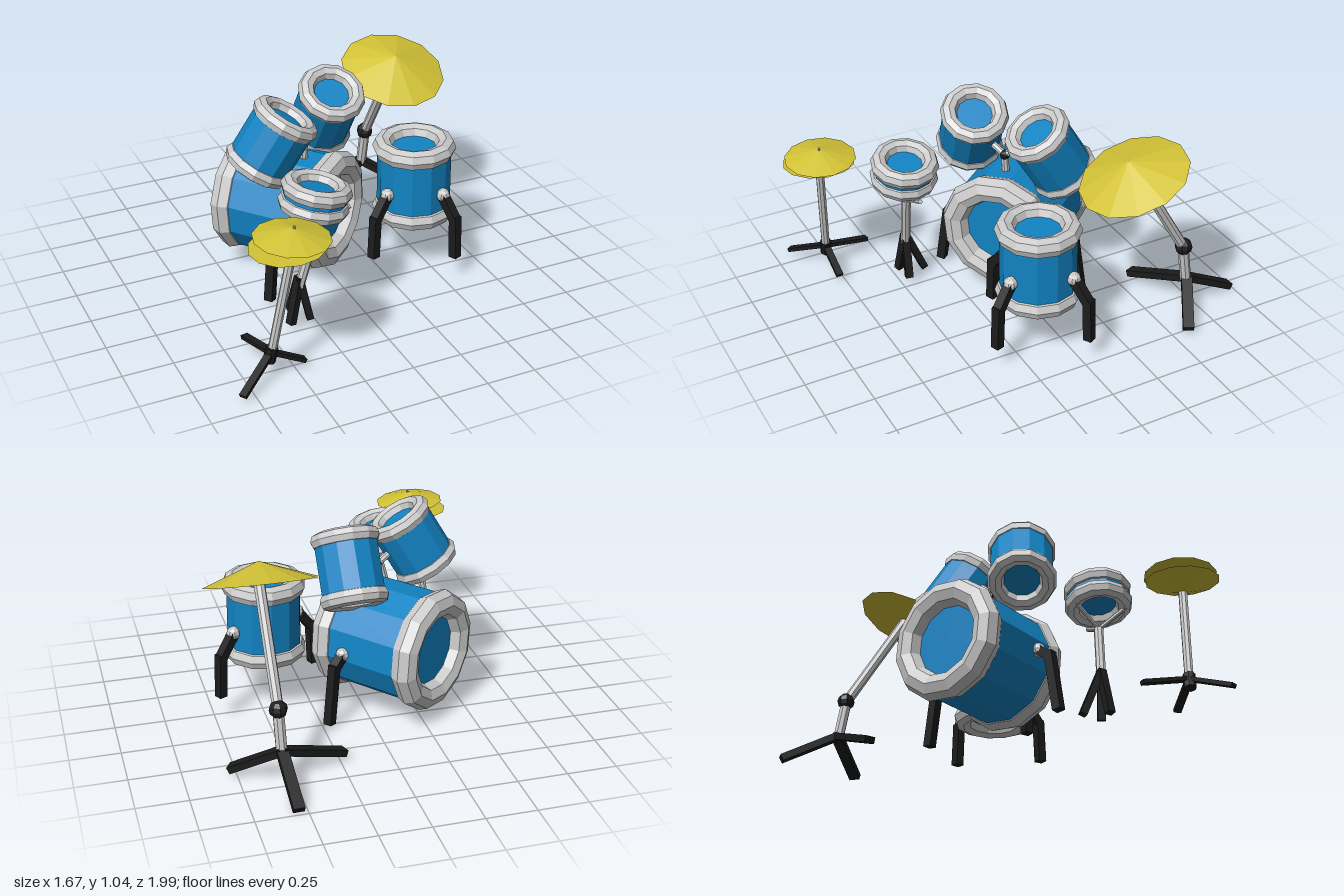
import * as THREE from 'three';

const SIDES = 12;
const mat = (color) => new THREE.MeshStandardMaterial({ color, flatShading: true });
const grey = mat(0xcccccc);
const blue = mat(0x1284c4);
const yellow = mat(0xd2c236);
const black = mat(0x1c1c1c);
const V = (p) => new THREE.Vector3(...p);
const UP = new THREE.Vector3(0, 1, 0);

function add(parent, name, geometry, material) {
  const mesh = new THREE.Mesh(geometry, material);
  mesh.name = name;
  parent.add(mesh);
  return mesh;
}

function group(parent, name) {
  const g = new THREE.Group();
  g.name = name;
  parent.add(g);
  return g;
}

// Round rod between two points
function rod(parent, name, a, b, r, material = grey) {
  const d = V(b).sub(V(a));
  const m = add(parent, name, new THREE.CylinderGeometry(r, r, d.length(), 8), material);
  m.position.copy(V(a)).addScaledVector(d, 0.5);
  m.quaternion.setFromUnitVectors(UP, d.normalize());
  return m;
}

// Flat bar between two points
function bar(parent, name, a, b, width, thick) {
  const m = add(parent, name, new THREE.BoxGeometry(width, thick, V(a).distanceTo(V(b))), black);
  m.position.copy(V(a)).lerp(V(b), 0.5);
  m.lookAt(V(b));
  return m;
}

// Shell with a fat hoop around each head
function drum(parent, name, bottom, top, shellR, outerR, tube) {
  const g = group(parent, name);
  const d = V(top).sub(V(bottom));
  const len = d.length();
  g.position.copy(V(bottom)).addScaledVector(d, 0.5);
  g.quaternion.setFromUnitVectors(UP, d.normalize());
  add(g, 'shell', new THREE.CylinderGeometry(shellR, shellR, len, SIDES), blue);
  for (const s of [-1, 1]) {
    const hoop = add(g, 'hoop', new THREE.TorusGeometry(outerR - tube, tube, 8, SIDES), grey);
    hoop.rotation.x = Math.PI / 2;
    hoop.position.y = (s * len) / 2;
  }
  return g;
}

// Bent leg: knob on the shell, elbow outwards, then down to the foot
function bentLeg(parent, name, center, dir, radii, heights, width) {
  const g = group(parent, name);
  const d = new THREE.Vector2(...dir).normalize();
  const pts = radii.map((r, i) => [center[0] + d.x * r, heights[i], center[1] + d.y * r]);
  const knob = add(g, 'legKnob', new THREE.SphereGeometry(0.035, 8, 6), grey);
  knob.position.set(...pts[0]);
  bar(g, 'upperLeg', pts[0], pts[1], width, width);
  bar(g, 'lowerLeg', [pts[1][0], pts[1][1] + 0.02, pts[1][2]], pts[2], width, width);
}

// Closed shallow cone; normal points towards the apex
function cymbal(parent, name, center, normal, radius, height) {
  const m = add(parent, name, new THREE.ConeGeometry(radius, height, SIDES), yellow);
  const n = V(normal).normalize();
  m.quaternion.setFromUnitVectors(UP, n);
  m.position.copy(V(center)).addScaledVector(n, height / 2);
}

function feet(parent, hub, ends, width, thick) {
  for (const end of ends) bar(parent, 'standFoot', hub, end, width, thick);
}

export function createModel() {
  const root = new THREE.Group();
  root.name = 'drumKit';

  // Bass drum, turned about 39 degrees
  const ax = [0.63, 0.777];
  const mid = [-0.15, -0.11];
  const end = (t) => [mid[0] + ax[0] * t, 0.38, mid[1] + ax[1] * t];
  drum(root, 'bassDrum', end(-0.24), end(0.24), 0.285, 0.31, 0.067);
  const legBase = [mid[0] + ax[0] * 0.1, mid[1] + ax[1] * 0.1];
  for (const s of [-1, 1]) {
    bentLeg(root, 'bassDrumLeg', legBase, [s * ax[1], -s * ax[0]], [0.285, 0.35, 0.395], [0.37, 0.32, 0.03], 0.045);
  }

  // Floor tom with three legs
  drum(root, 'floorTom', [0.46, 0.31, 0.105], [0.455, 0.655, 0.105], 0.188, 0.212, 0.05);
  for (const dir of [[-0.257, 0.1], [0.275, -0.15], [0.1, 0.27]]) {
    bentLeg(root, 'floorTomLeg', [0.457, 0.105], dir, [0.2, 0.285, 0.295], [0.45, 0.34, 0.13], 0.045);
  }

  // Rack toms and their mount
  drum(root, 'rackTom', [0.08, 0.684, -0.245], [0.085, 0.935, -0.09], 0.158, 0.174, 0.042);
  drum(root, 'rackTom', [-0.375, 0.705, 0.05], [-0.24, 0.935, 0.085], 0.158, 0.174, 0.042);
  const mount = group(root, 'tomMount');
  const joint = [-0.1, 0.745, -0.01];
  rod(mount, 'mountPost', [-0.1, 0.6, -0.02], joint, 0.02);
  rod(mount, 'mountArm', joint, [-0.02, 0.84, -0.1], 0.018);
  rod(mount, 'mountArm', joint, [-0.22, 0.81, 0.04], 0.018);
  add(mount, 'mountJoint', new THREE.SphereGeometry(0.026, 8, 6), black).position.set(...joint);

  // Snare drum on a folded stand
  drum(root, 'snareDrum', [-0.268, 0.67, 0.47], [-0.252, 0.75, 0.47], 0.152, 0.172, 0.042)
    .quaternion.setFromUnitVectors(UP, V([0.21, 0.978, 0]).normalize());
  const snareStand = group(root, 'snareStand');
  const fork = [-0.255, 0.54, 0.47];
  rod(snareStand, 'standPost', fork, [-0.335, 0.23, 0.45], 0.024);
  for (const tip of [[-0.08, 0.62, 0.47], [-0.31, 0.66, 0.61], [-0.31, 0.66, 0.33]]) {
    rod(snareStand, 'cradleArm', fork, tip, 0.012);
  }
  feet(snareStand, [-0.335, 0.28, 0.45], [[-0.39, 0.04, 0.47], [-0.285, 0.04, 0.46], [-0.34, 0.04, 0.35]], 0.04, 0.035);

  // Hi-hat: two facing cymbals on a leaning stand
  const hat = group(root, 'hiHat');
  cymbal(hat, 'upperCymbal', [-0.525, 0.738, 0.81], [0.06, 1, 0.02], 0.18, 0.05);
  cymbal(hat, 'lowerCymbal', [-0.545, 0.702, 0.812], [0.06, -1, 0.02], 0.182, 0.062);
  rod(hat, 'hatTip', [-0.528, 0.72, 0.815], [-0.515, 0.797, 0.815], 0.006);
  rod(hat, 'standPost', [-0.525, 0.69, 0.818], [-0.622, 0.14, 0.785], 0.022);
  feet(hat, [-0.625, 0.145, 0.785], [[-0.82, 0.045, 0.92], [-0.66, 0.09, 0.54], [-0.455, 0.05, 0.78]], 0.036, 0.02);
  rod(hat, 'standHub', [-0.619, 0.17, 0.786], [-0.635, 0.095, 0.782], 0.03, black);

  // Crash cymbal on a jointed tripod
  const crash = group(root, 'crashCymbal');
  cymbal(crash, 'cymbal', [0.56, 0.873, -0.35], [0, 0.927, 0.375], 0.275, 0.1);
  rod(crash, 'upperPost', [0.57, 0.89, -0.36], [0.56, 0.375, -0.665], 0.027);
  rod(crash, 'lowerPost', [0.56, 0.375, -0.665], [0.555, 0.16, -0.7], 0.028);
  add(crash, 'postJoint', new THREE.SphereGeometry(0.045, 8, 6), black).position.set(0.56, 0.375, -0.668);
  feet(crash, [0.555, 0.175, -0.705], [[0.543, 0.025, -0.985], [0.225, 0.045, -0.58], [0.78, 0.04, -0.575]], 0.055, 0.035);

  return root;
}
